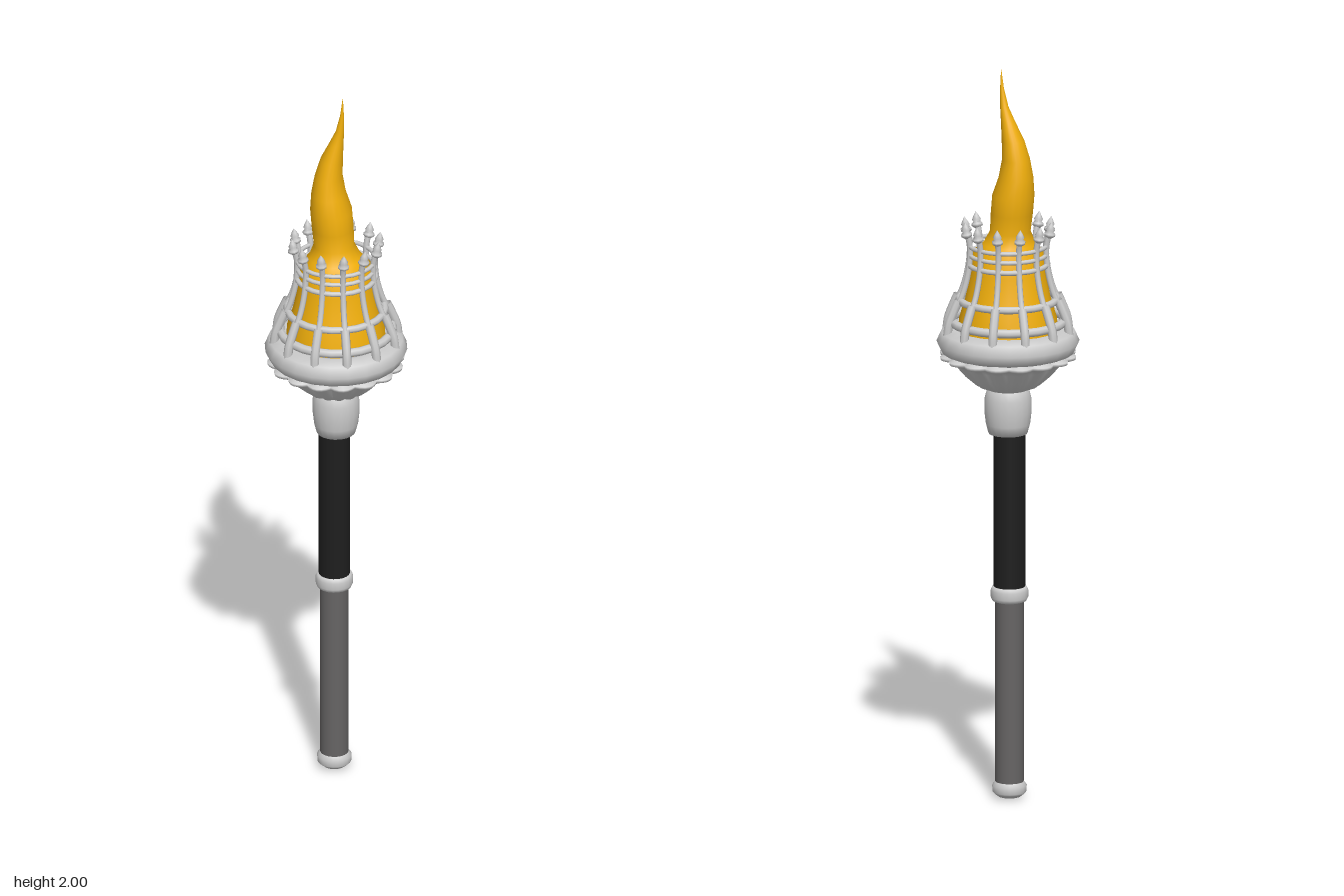
import * as THREE from 'three';

const material = (color) => new THREE.MeshStandardMaterial({ color, side: THREE.DoubleSide });
const metal = material(0xcccccc);
const leather = material(0x1e1e1e);
const pole = material(0x666464);
const gold = material(0xf2b00c);
const RIBS = 12;

function mesh(name, geometry, mat = metal) {
  const m = new THREE.Mesh(geometry, mat);
  m.name = name;
  return m;
}

const points = (list) => list.map(([r, y]) => new THREE.Vector2(r, y));
const lathe = (name, list, sides, mat) => mesh(name, new THREE.LatheGeometry(points(list), sides), mat);

// Horizontal hoop, optionally stretched in height
function hoop(name, radius, tube, y, stretch = 1) {
  const g = new THREE.TorusGeometry(radius, tube, 8, 24);
  g.rotateX(Math.PI / 2).scale(1, stretch, 1).translate(0, y, 0);
  return mesh(name, g);
}

// Bowl whose rim and sides are pressed into rounded flutes
function flutedBowl() {
  const flutes = 16;
  const profile = points([[0.055, 1.125], [0.085, 1.137], [0.115, 1.163], [0.14, 1.192], [0.155, 1.207],
    [0.182, 1.212], [0.184, 1.22], [0.15, 1.235]]);
  const g = new THREE.LatheGeometry(profile, flutes * 6);
  const p = g.attributes.position;
  for (let i = 0; i < p.count; i++) {
    const x = p.getX(i), z = p.getZ(i);
    const bulge = Math.abs(Math.sin(Math.atan2(z, x) * flutes / 2));
    const amount = p.getY(i) < 1.13 ? 0 : 0.09;
    const k = 1 - amount * (1 - bulge);
    p.setX(i, x * k);
    p.setZ(i, z * k);
  }
  g.computeVertexNormals();
  return mesh('flutedBowl', g);
}

// Flame lofted through round sections: [centre x, y, centre z, radius x, radius z]
function flame() {
  const rows = [
    [0, 1.25, 0, 0.135, 0.135], [0, 1.32, 0, 0.13, 0.13], [0, 1.38, 0, 0.112, 0.112],
    [0, 1.45, 0, 0.1, 0.1], [0, 1.5, 0, 0.094, 0.094], [-0.003, 1.525, -0.004, 0.07, 0.072],
    [-0.006, 1.56, -0.008, 0.054, 0.06], [-0.01, 1.61, -0.012, 0.056, 0.065],
    [-0.014, 1.66, -0.012, 0.056, 0.068], [-0.021, 1.71, -0.015, 0.046, 0.06],
    [-0.021, 1.76, -0.017, 0.037, 0.05], [-0.013, 1.81, -0.016, 0.03, 0.039],
    [0, 1.86, -0.012, 0.019, 0.022], [0.01, 1.9, -0.006, 0.011, 0.012],
    [0.016, 1.95, -0.001, 0.005, 0.005], [0.018, 2, 0, 0.0005, 0.0005],
  ];
  const sides = 20, pos = [], idx = [];
  rows.forEach(([cx, y, cz, rx, rz], j) => {
    for (let i = 0; i < sides; i++) {
      const a = i / sides * Math.PI * 2;
      pos.push(cx + rx * Math.sin(a), y, cz + rz * Math.cos(a));
      if (j === rows.length - 1) continue;
      const n = (i + 1) % sides, b = j * sides, t = b + sides;
      idx.push(b + i, b + n, t + n, b + i, t + n, t + i);
    }
  });
  const g = new THREE.BufferGeometry();
  g.setAttribute('position', new THREE.Float32BufferAttribute(pos, 3));
  g.setIndex(idx);
  g.computeVertexNormals();
  return mesh('flame', g, gold);
}

// One cage bar with its stout foot and pointed finial, built along +x
function cageBar() {
  const bar = new THREE.Group();
  bar.name = 'cageBar';
  const tube = (name, list, r) => {
    const curve = new THREE.CatmullRomCurve3(list.map(([x, y]) => new THREE.Vector3(x, y, 0)));
    return mesh(name, new THREE.TubeGeometry(curve, 12, r, 8));
  };
  bar.add(tube('upright', [[0.143, 1.35], [0.122, 1.4], [0.108, 1.46], [0.105, 1.52], [0.114, 1.565]], 0.008));
  bar.add(tube('foot', [[0.168, 1.275], [0.163, 1.31], [0.15, 1.345], [0.137, 1.375]], 0.012));
  const finial = lathe('finial', [[0.007, 0], [0.015, 0.006], [0.015, 0.012], [0.009, 0.017],
    [0.012, 0.023], [0.007, 0.033], [0, 0.045]], 8);
  finial.position.set(0.113, 1.545, 0);
  finial.rotation.z = -0.15;
  bar.add(finial);
  return bar;
}

export function createModel() {
  const torch = new THREE.Group();
  torch.name = 'torch';

  // Handle
  const handle = new THREE.Group();
  handle.name = 'handle';
  handle.position.set(-0.004, 0, 0.005);
  handle.add(
    lathe('pommel', [[0, 0], [0.03, 0.005], [0.04, 0.013], [0.045, 0.018], [0.046, 0.036], [0.038, 0.046]], 20),
    lathe('lowerPole', [[0.038, 0.03], [0.038, 0.56]], 20, pole),
    lathe('collar', [[0.038, 0.54], [0.046, 0.543], [0.05, 0.552], [0.05, 0.571], [0.046, 0.58], [0.038, 0.583]], 20),
    lathe('grip', [[0.042, 0.57], [0.042, 1.01]], 20, leather),
  );
  torch.add(handle);

  // Neck and bowl
  torch.add(lathe('neck', [[0.03, 1], [0.052, 1.003], [0.059, 1.03], [0.063, 1.065], [0.062, 1.1],
    [0.055, 1.127], [0.04, 1.14]], 20));
  torch.add(flutedBowl());
  torch.add(lathe('bowlFloor', [[0.16, 1.25], [0, 1.25]], 24));
  torch.add(hoop('bowlRim', 0.148, 0.042, 1.257, 0.92));

  // Cage
  const cage = new THREE.Group();
  cage.name = 'cage';
  cage.add(
    hoop('lowerHoop', 0.15, 0.012, 1.313),
    hoop('middleHoop', 0.13, 0.01, 1.372),
    hoop('upperHoop', 0.106, 0.007, 1.468),
    hoop('upperHoop', 0.104, 0.006, 1.495),
    hoop('upperHoop', 0.105, 0.006, 1.52),
  );
  for (let i = 0; i < RIBS; i++) {
    const bar = cageBar();
    bar.rotation.y = (i + 0.5) / RIBS * Math.PI * 2;
    cage.add(bar);
  }
  torch.add(cage, flame());
  return torch;
}
